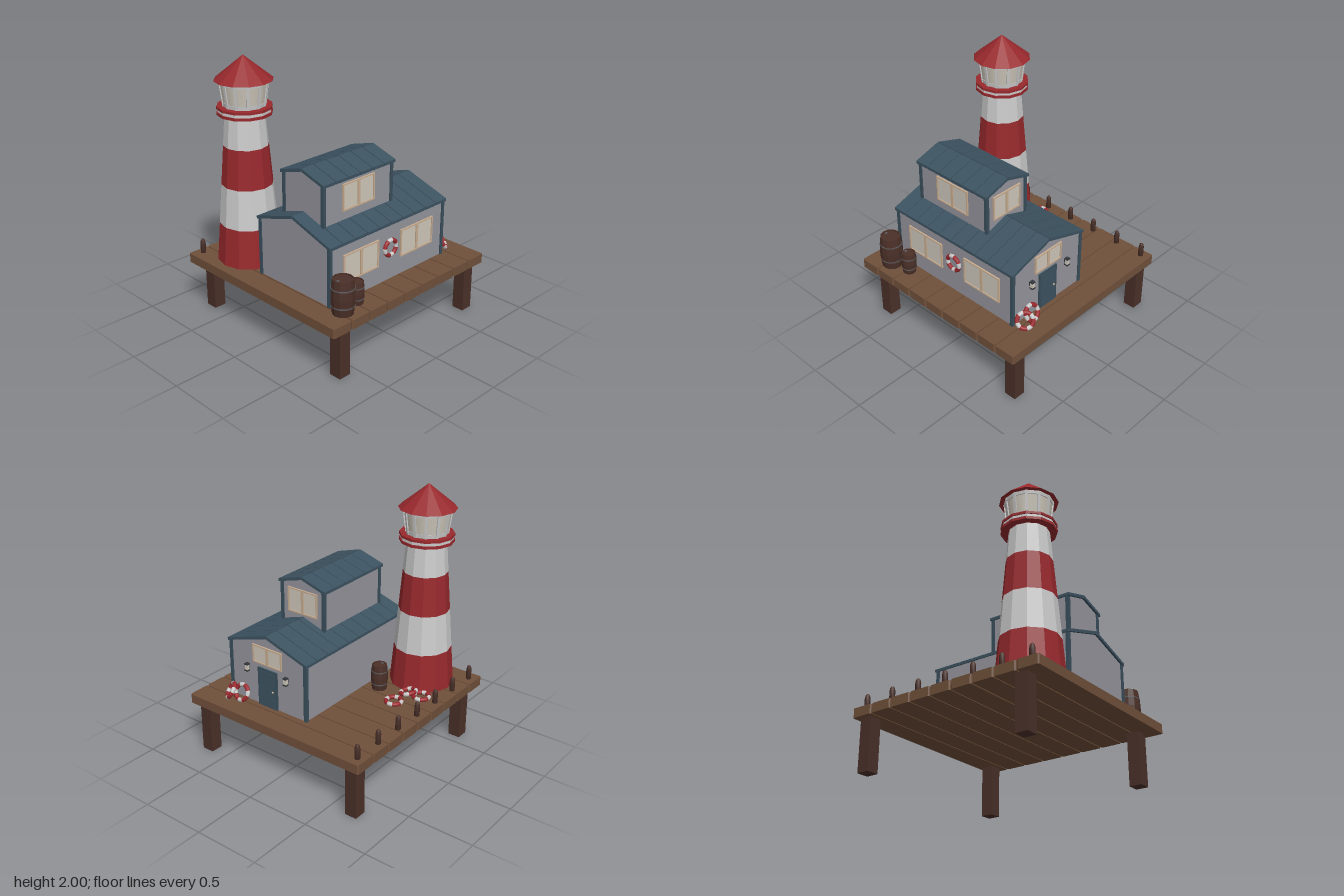
import * as THREE from 'three';

const mat = (color, flatShading = false) => new THREE.MeshStandardMaterial({ color, flatShading });
const M = {
  plank: mat(0x70503a), post: mat(0x4a3029), red: mat(0x98292d, true), white: mat(0xcccccc, true),
  wall: mat(0x95959d), roof: mat(0x3d5361), trim: mat(0x3a4f5c), frame: mat(0xc9ae92),
  glass: mat(0xcfc8bb), barrel: mat(0x4b3028, true), hoop: mat(0x5c5c60, true),
  buoyRed: mat(0x9c2a2f), buoyWhite: mat(0xd8d8d8), dark: mat(0x33383c),
};
const DECK = 0.46;

function add(parent, name, geo, material, x = 0, y = 0, z = 0) {
  const m = new THREE.Mesh(geo, material);
  m.name = name;
  m.position.set(x, y, z);
  parent.add(m);
  return m;
}
function group(parent, name, x = 0, y = 0, z = 0) {
  const g = new THREE.Group();
  g.name = name;
  g.position.set(x, y, z);
  parent.add(g);
  return g;
}
const box = (w, h, d) => new THREE.BoxGeometry(w, h, d);
const shape = pts => new THREE.Shape(pts.map(p => new THREE.Vector2(...p)));
const extrude = (s, depth) => new THREE.ExtrudeGeometry(s, { depth, bevelEnabled: false });
const drum = (rTop, rBottom, h, n = 12) => new THREE.CylinderGeometry(rTop, rBottom, h, n);
const lathe = (pts, n) => new THREE.LatheGeometry(pts.map(p => new THREE.Vector2(...p)), n);

// Dock: nine planks with clipped corners, four legs, a row of mooring posts
function buildDock(root) {
  const dock = group(root, 'dock');
  const pitch = 1.57 / 9, w = 0.775, d = pitch / 2 - 0.004, c = 0.008;
  const outline = shape([[-w + c, -d], [w - c, -d], [w, -d + c], [w, d - c],
    [w - c, d], [-w + c, d], [-w, d - c], [-w, -d + c]]);
  for (let i = 0; i < 9; i++) {
    const p = add(dock, 'plank', extrude(outline, 0.07), M.plank, 0, DECK, (i - 4) * pitch);
    p.rotation.x = Math.PI / 2;
  }
  for (const x of [-0.685, 0.668]) for (const z of [-0.695, 0.62])
    add(dock, 'leg', box(0.095, 0.4, 0.095), M.post, x, 0.2, z);
  const bollard = lathe([[0, 0], [0.02, 0], [0.02, 0.075], [0.016, 0.098], [0.009, 0.108], [0, 0.111]], 8);
  for (let i = 0; i < 7; i++) add(dock, 'mooringPost', bollard, M.post, -0.715, DECK, -0.71 + i * 0.234);
}

// Lighthouse: tapering striped tower, gallery, glazed lantern and cone roof
function buildLighthouse(root) {
  const g = group(root, 'lighthouse', -0.43, 0, 0.475);
  const radius = y => 0.24 - (y - DECK) * 0.084;
  const levels = [DECK, 0.755, 1.055, 1.35, 1.585];
  for (let i = 0; i < 4; i++) {
    const [a, b] = [levels[i], levels[i + 1]];
    add(g, 'towerBand', drum(radius(b), radius(a), b - a), i % 2 ? M.white : M.red, 0, (a + b) / 2, 0);
  }
  add(g, 'galleryLower', drum(0.2, 0.2, 0.02), M.red, 0, 1.59, 0);
  add(g, 'galleryMiddle', drum(0.192, 0.192, 0.024), M.white, 0, 1.612, 0);
  add(g, 'galleryUpper', drum(0.2, 0.2, 0.018), M.red, 0, 1.632, 0);
  add(g, 'lanternGlass', drum(0.174, 0.15, 0.19), M.glass, 0, 1.735, 0);
  add(g, 'lanternSill', drum(0.157, 0.153, 0.03), M.white, 0, 1.655, 0);
  add(g, 'lanternHead', drum(0.18, 0.176, 0.03), M.white, 0, 1.815, 0);
  for (let i = 0; i < 12; i++) {
    const arm = group(g, 'lanternMullion', 0, 1.735, 0);
    arm.rotation.y = i * Math.PI / 6;
    add(arm, 'mullion', box(0.02, 0.19, 0.016), M.white, 0, 0, 0.16).rotation.x = 0.126;
  }
  add(g, 'lanternRoof', new THREE.ConeGeometry(0.212, 0.175, 12), M.red, 0, 1.9125, 0);
}

// Two-pane window facing +z, centred on its own origin
function buildWindow(parent, w, h, x, y, z, turn = 0) {
  const g = group(parent, 'window', x, y, z);
  g.rotation.y = turn;
  const t = 0.011, rect = (x0, x1, y0, y1) => [[x0, y0], [x1, y0], [x1, y1], [x0, y1]];
  const s = shape(rect(-w / 2, w / 2, -h / 2, h / 2));
  for (const k of [-1, 1]) {
    const a = k * t, b = k * (w / 2 - t);
    s.holes.push(shape(rect(Math.min(a, b), Math.max(a, b), -h / 2 + t, h / 2 - t)));
  }
  add(g, 'windowFrame', extrude(s, 0.012), M.frame);
  add(g, 'windowGlass', box(w - t, h - t, 0.008), M.glass);
}

// Gabled block: walls, corner trim and a roof of separate panels
function buildBlock(parent, name, { x0, x1, z0, z1, y0, eave, ridge, over, rows }) {
  const g = group(parent, name), mid = (x0 + x1) / 2, half = (x1 - x0) / 2;
  const walls = shape([[x0, y0], [x1, y0], [x1, eave], [mid, ridge], [x0, eave]]);
  add(g, 'walls', extrude(walls, z1 - z0), M.wall, 0, 0, z0);
  for (const x of [x0, x1]) for (const z of [z0, z1])
    add(g, 'cornerTrim', box(0.026, eave - y0, 0.026), M.trim,
      x - Math.sign(x - mid) * 0.004, (y0 + eave) / 2, z - Math.sign(z - (z0 + z1) / 2) * 0.004);
  const drop = (ridge - eave) / half * (half + over), t = 0.022;
  const pitch = (z1 - z0 + 2 * over) / rows;
  for (const s of [-1, 1]) {
    const near = mid + s * 0.003, far = mid + s * (half + over);
    const slab = shape([[near, ridge - 0.002], [far, ridge - drop], [far, ridge - drop + t], [near, ridge + t]]);
    for (let i = 0; i < rows; i++)
      add(g, 'roofPanel', extrude(slab, pitch - 0.006), M.roof, 0, 0, z0 - over + i * pitch + 0.003);
  }
  // Thin lining that closes the joints between panels
  const lining = shape([[mid - half - over + 0.006, ridge - drop + 0.003], [mid, ridge],
    [mid + half + over - 0.006, ridge - drop + 0.003], [mid + half + over - 0.006, ridge - drop + 0.014],
    [mid, ridge + 0.013], [mid - half - over + 0.006, ridge - drop + 0.014]]);
  add(g, 'roofLining', extrude(lining, z1 - z0 + 2 * over - 0.02), M.trim, 0, 0, z0 - over + 0.01);
  return g;
}

function buildHouse(root) {
  const house = group(root, 'boathouse');
  const lower = buildBlock(house, 'lowerFloor',
    { x0: -0.155, x1: 0.548, z0: -0.56, z1: 0.597, y0: DECK, eave: 0.895, ridge: 1.007, over: 0.018, rows: 10 });
  const upper = buildBlock(house, 'upperFloor',
    { x0: 0, x1: 0.39, z0: -0.165, z1: 0.503, y0: 0.88, eave: 1.267, ridge: 1.325, over: 0.02, rows: 6 });
  const side = Math.PI / 2, back = Math.PI;
  buildWindow(lower, 0.345, 0.21, 0.548, 0.705, 0.302, side);
  buildWindow(lower, 0.345, 0.21, 0.548, 0.705, -0.268, side);
  buildWindow(upper, 0.31, 0.2, 0.39, 1.135, 0.17, side);
  buildWindow(lower, 0.27, 0.14, 0.195, 0.86, -0.56, back);
  buildWindow(upper, 0.27, 0.19, 0.195, 1.145, -0.165, back);
  // Back door with a raised surround
  add(lower, 'doorFrame', box(0.18, 0.3, 0.02), M.trim, 0.195, DECK + 0.15, -0.561);
  add(lower, 'door', box(0.15, 0.28, 0.026), M.roof, 0.195, DECK + 0.14, -0.561);
  add(lower, 'doorHandle', new THREE.SphereGeometry(0.008, 8, 6), M.frame, 0.14, DECK + 0.14, -0.578);
  for (const x of [0.01, 0.375]) {
    const lamp = group(lower, 'wallLamp', x, 0.735, -0.585);
    add(lamp, 'lampBracket', box(0.012, 0.03, 0.03), M.dark, 0, 0, 0.012);
    add(lamp, 'lampGlass', box(0.024, 0.04, 0.022), M.glass);
    for (const y of [-0.025, 0.025]) add(lamp, 'lampCap', box(0.03, 0.01, 0.03), M.dark, 0, y, 0);
  }
}

function buildBarrel(root, x, z, r, h) {
  const g = group(root, 'barrel', x, DECK, z), n = 12, e = 0.86 * r;
  add(g, 'staves', lathe([[0, 0], [e, 0], [0.96 * r, 0.25 * h], [r, 0.5 * h], [0.96 * r, 0.75 * h], [e, h],
    [e - 0.008, h], [e - 0.008, h - 0.008], [0, h - 0.008]], n), M.barrel);
  for (const f of [0.25, 0.75]) add(g, 'hoop', drum(r * 0.985, r * 0.985, 0.008, n), M.hoop, 0, f * h, 0);
  add(g, 'bung', drum(0.01, 0.01, 0.008, 8), M.hoop, 0, h - 0.006, r * 0.55);
}

// Life ring whose axis points along n, with four white bands
function buildLifeRing(root, pos, n) {
  const g = group(root, 'lifeRing', ...pos);
  g.quaternion.setFromUnitVectors(new THREE.Vector3(0, 0, 1), new THREE.Vector3(...n).normalize());
  const white = 0.62, red = Math.PI / 2 - white;
  for (let i = 0; i < 4; i++) {
    const start = i * Math.PI / 2 + 0.45;
    add(g, 'ringRed', new THREE.TorusGeometry(0.057, 0.016, 10, 8, red), M.buoyRed).rotation.z = start;
    add(g, 'ringWhite', new THREE.TorusGeometry(0.057, 0.016, 10, 5, white), M.buoyWhite).rotation.z = start + red;
  }
}

export function createModel() {
  const root = new THREE.Group();
  root.name = 'harbourLighthouse';
  buildDock(root);
  buildLighthouse(root);
  buildHouse(root);
  buildBarrel(root, 0.655, 0.58, 0.087, 0.26);
  buildBarrel(root, 0.625, 0.42, 0.057, 0.17);
  buildBarrel(root, -0.267, 0.155, 0.064, 0.2);
  buildLifeRing(root, [0.556, 0.71, 0.01], [1, 0, 0]);
  buildLifeRing(root, [-0.48, 0.476, 0.04], [0, 1, 0]);
  buildLifeRing(root, [-0.6, 0.476, 0.22], [0, 1, 0]);
  buildLifeRing(root, [-0.505, 0.495, 0.19], [0.25, 1, 0]);
  buildLifeRing(root, [0.41, 0.528, -0.615], [0, 0.4, -0.9]);
  buildLifeRing(root, [0.5, 0.523, -0.635], [0.6, 0.5, -0.62]);
  return root;
}
